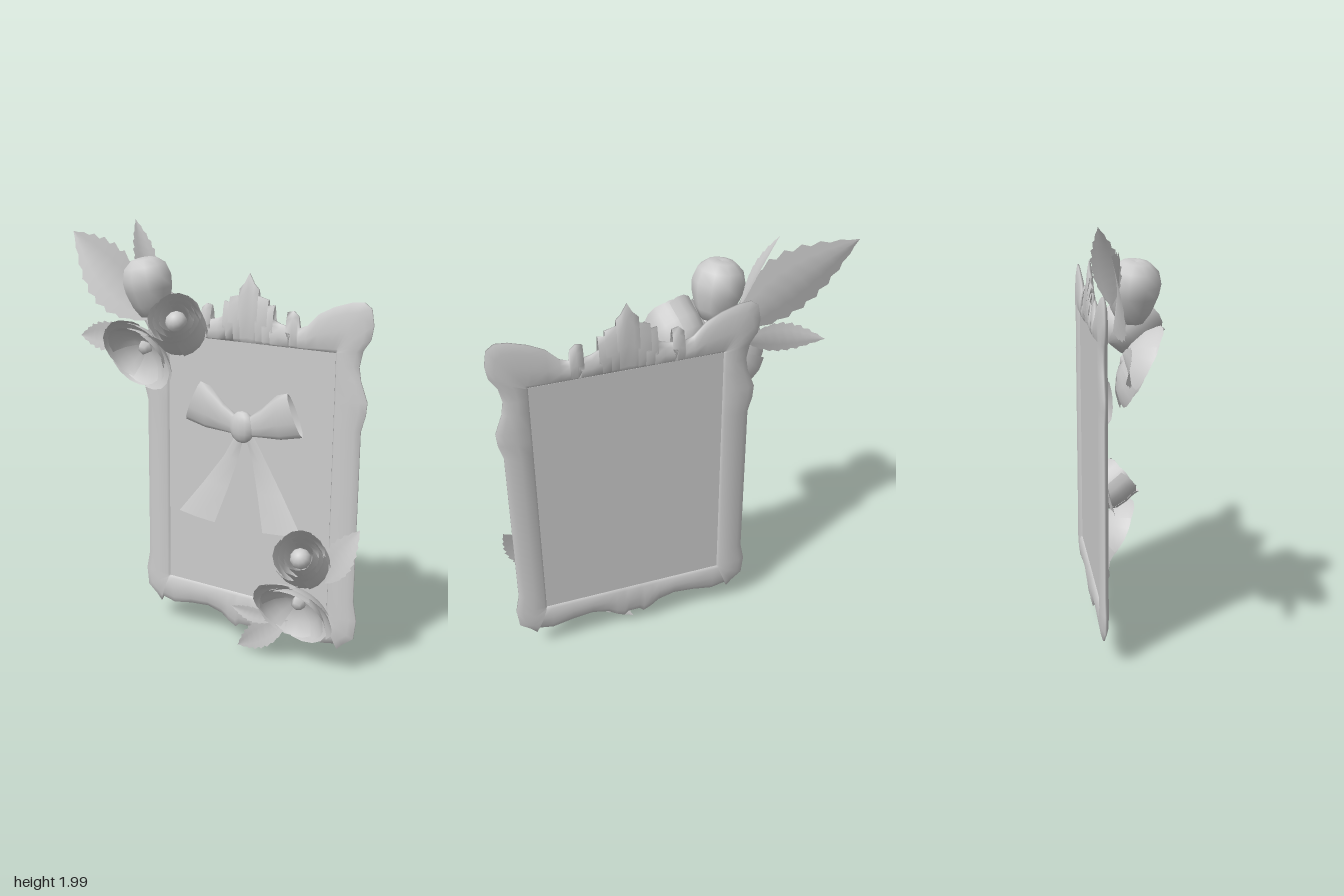
import * as THREE from 'three';

const V = (x, y, z) => new THREE.Vector3(x, y, z);
const grey = new THREE.MeshStandardMaterial({ color: 0xcccccc, side: THREE.DoubleSide });
grey.name = 'light grey';

// Surface through rows of points; wrap joins the last column to the first
function grid(rows, wrap = false) {
  const n = rows[0].length, idx = [];
  const cols = wrap ? n : n - 1;
  for (let i = 0; i < rows.length - 1; i++) {
    for (let j = 0; j < cols; j++) {
      const k = (j + 1) % n;
      const a = i * n + j, b = i * n + k, c = a + n, d = b + n;
      idx.push(a, c, b, b, c, d);
    }
  }
  const g = new THREE.BufferGeometry().setFromPoints(rows.flat());
  g.setIndex(idx);
  g.computeVertexNormals();
  return g;
}

function add(parent, name, geometry) {
  const m = new THREE.Mesh(geometry, grey);
  m.name = name;
  parent.add(m);
  return m;
}

// Ornate frame: half outline mirrored, then rings drawn in to a rectangle
const CX = 0.2075, FZ = -0.105;
const topHalf = [
  [0, 1.79], [0.025, 1.745], [0.05, 1.72], [0.04, 1.695], [0.1, 1.68], [0.075, 1.65],
  [0.13, 1.66], [0.115, 1.6], [0.16, 1.58], [0.205, 1.57], [0.218, 1.605], [0.195, 1.635],
  [0.225, 1.642], [0.25, 1.62], [0.255, 1.57], [0.295, 1.585], [0.35, 1.64], [0.42, 1.675],
  [0.5, 1.7], [0.555, 1.705], [0.59, 1.68], [0.602, 1.61], [0.592, 1.55], [0.558, 1.5],
  [0.543, 1.43], [0.553, 1.37], [0.587, 1.28], [0.582, 1.22], [0.562, 1.15], [0.562, 0.75],
  [0.562, 0.36], [0.58, 0.27], [0.57, 0.18], [0.52, 0.14], [0.492, 0.11], [0.482, 0.135],
  [0.41, 0.12], [0.31, 0.14], [0.21, 0.15], [0.13, 0.13], [0.09, 0.1], [0.05, 0.08], [0.03, 0.1],
];
function buildFrame(parent) {
  const left = topHalf.slice(1).reverse().map(([x, y]) => [-x, y]);
  const outline = [...topHalf, ...left];
  const ring = (t, z) => outline.map(([x, y]) => {
    const ix = THREE.MathUtils.clamp(x, -0.435, 0.435);
    const iy = THREE.MathUtils.clamp(y, 0.26, 1.48);
    return V(CX + x + (ix - x) * t, y + (iy - y) * t, FZ + z);
  });
  const section = [[1, 0.004], [0.92, 0.016], [0.55, 0.022], [0.2, 0.014], [0, 0.004]];
  const rows = [
    ...section.map(([t, z]) => ring(t, -z)),
    ...section.slice().reverse().map(([t, z]) => ring(t, z)),
  ];
  add(parent, 'frame', grid(rows, true));
  const panel = add(parent, 'panel', new THREE.BoxGeometry(0.87, 1.22, 0.01));
  panel.position.set(CX, 0.87, FZ);
}

// Bow: puffed loops, hanging tails and a knot
function buildBow(parent) {
  const bow = new THREE.Group();
  bow.name = 'bow';
  parent.add(bow);
  const loop = [
    [0.03, 1.15, 0.03, 1.06, 0.015], [0.1, 1.2, 0.1, 1.065, 0.025],
    [0.175, 1.27, 0.2, 1.07, 0.032], [0.228, 1.285, 0.308, 1.095, 0.025],
  ];
  const tail = [
    [0.05, 1.05, 0.01, 1.03, -0.08], [0.115, 0.94, 0.04, 0.93, -0.085],
    [0.215, 0.8, 0.08, 0.79, -0.065], [0.33, 0.645, 0.13, 0.622, -0.03],
  ];
  for (const s of [-1, 1]) {
    const loopRows = loop.map(([hx, hy, lx, ly, d]) => Array.from({ length: 10 }, (_, i) => {
      const a = i / 10 * Math.PI * 2, t = (1 + Math.cos(a)) / 2;
      return V(CX + s * (lx + (hx - lx) * t), ly + (hy - ly) * t, -0.058 + d * Math.sin(a));
    }));
    add(bow, 'bowLoop', grid(loopRows, true));
    const tailRows = tail.map(([ox, oy, ix, iy, z]) => [0, 0.5, 1].map((t) =>
      V(CX + s * (ox + (ix - ox) * t), oy + (iy - oy) * t, z + (t === 0.5 ? 0.008 : 0))));
    add(bow, 'bowTail', grid(tailRows));
  }
  const knot = add(bow, 'bowKnot', new THREE.SphereGeometry(1, 12, 8));
  knot.scale.set(0.065, 0.075, 0.035);
  knot.position.set(CX, 1.1, -0.055);
}

// Serrated leaf, folded along its midrib and curving along its length
function leaf(parent, base, tip, half, normal = V(0, 0, 1), bend = 0.02) {
  const dir = tip.clone().sub(base).normalize();
  const side = dir.clone().cross(normal).normalize();
  const up = side.clone().cross(dir).normalize();
  const N = 18, rows = [];
  for (let i = 0; i <= N; i++) {
    const t = i / N;
    const w = half * Math.sin(Math.PI * Math.pow(t, 0.85)) * (i % 2 ? 0.87 : 1);
    rows.push([-1, -0.5, 0, 0.5, 1].map((u) => base.clone().lerp(tip, t)
      .addScaledVector(side, u * w)
      .addScaledVector(dir, i % 2 ? 0 : Math.abs(u) * 0.012 * Math.sin(Math.PI * t))
      .addScaledVector(up, Math.abs(u) * w * 0.15 + bend * Math.sin(Math.PI * t))));
  }
  add(parent, 'leaf', grid(rows));
}

// Ring of overlapping petals around +y, from a [radius, height] profile
function petals(parent, name, count, profile, scale, turn, lift = 0) {
  for (let p = 0; p < count; p++) {
    const rows = profile.map(([r, h], i) => [-1, -0.5, 0, 0.5, 1].map((u) => {
      if (i === profile.length - 1) {
        const q = profile[i - 1], dip = 0.4 * u * u;
        r = profile[i][0] + (q[0] - profile[i][0]) * dip;
        h = profile[i][1] + (q[1] - profile[i][1]) * dip;
      }
      const a = turn + (p + u * 0.58) / count * Math.PI * 2;
      const R = r * scale * (1 + 0.04 * u);
      return V(R * Math.cos(a), h + lift, R * Math.sin(a));
    }));
    add(parent, name, grid(rows));
  }
}

function flowerGroup(parent, name, base, axis) {
  const g = new THREE.Group();
  g.name = name;
  g.position.copy(base);
  g.quaternion.setFromUnitVectors(V(0, 1, 0), axis.clone().normalize());
  parent.add(g);
  return g;
}

function openFlower(parent, base, axis) {
  const g = flowerGroup(parent, 'openFlower', base, axis);
  const cup = [[0.01, 0], [0.08, 0.008], [0.14, 0.035], [0.178, 0.07], [0.195, 0.092]];
  petals(g, 'outerPetal', 6, cup, 1, 0.2);
  petals(g, 'innerPetal', 6, cup, 0.83, 0.7, 0.008);
  const heart = add(g, 'flowerHeart', new THREE.SphereGeometry(0.036, 5, 4));
  heart.position.y = 0.022;
}

function halfOpenRose(parent, base, axis, size) {
  const g = flowerGroup(parent, 'halfOpenRose', base, axis);
  g.scale.setScalar(size);
  const body = [[0.005, -0.015], [0.08, 0.005], [0.113, 0.06], [0.12, 0.12], [0.118, 0.175], [0.122, 0.215]];
  petals(g, 'outerPetal', 5, body, 1, 0.3);
  petals(g, 'middlePetal', 5, body, 0.8, 0.9, 0.004);
  petals(g, 'innerPetal', 4, body, 0.58, 0.2, 0.002);
  const heart = add(g, 'roseHeart', new THREE.SphereGeometry(0.05, 10, 8));
  heart.position.y = 0.17;
}

function closedBud(parent, base, axis) {
  const g = flowerGroup(parent, 'closedBud', base, axis);
  const profile = [[0, 0], [0.06, 0.01], [0.09, 0.06], [0.112, 0.13], [0.117, 0.18],
    [0.1, 0.235], [0.06, 0.268], [0.025, 0.275], [0, 0.268]];
  add(g, 'bud', new THREE.LatheGeometry(profile.map(([r, h]) => new THREE.Vector2(r, h)), 10));
}

export function createModel() {
  const model = new THREE.Group();
  model.name = 'floralFrame';
  buildFrame(model);
  buildBow(model);

  // Upper corner bouquet
  closedBud(model, V(-0.225, 1.575, 0.02), V(-0.16, 1, 0.08));
  halfOpenRose(model, V(-0.095, 1.475, -0.045), V(0.05, 0.13, 0.17), 1);
  openFlower(model, V(-0.29, 1.435, -0.018), V(-0.08, -0.45, 0.87));
  leaf(model, V(-0.28, 1.55, -0.06), V(-0.825, 1.93, -0.135), 0.16);
  leaf(model, V(-0.36, 1.47, -0.03), V(-0.74, 1.43, -0.07), 0.075);
  leaf(model, V(-0.31, 1.66, -0.07), V(-0.445, 2.0, -0.14), 0.065, V(0.9, 0.36, 0.3), 0.01);

  // Lower corner bouquet
  halfOpenRose(model, V(0.575, 0.495, -0.045), V(0.03, 0.13, 0.17), 0.95);
  openFlower(model, V(0.55, 0.352, -0.02), V(0, -0.48, 0.87));
  leaf(model, V(0.65, 0.44, -0.05), V(0.805, 0.72, -0.07), 0.075, V(-0.15, 0, 1), 0.01);
  leaf(model, V(0.49, 0.23, -0.02), V(0.195, 0.01, -0.06), 0.065);
  leaf(model, V(0.44, 0.22, -0.02), V(0.17, 0.215, -0.04), 0.04);
  return model;
}
